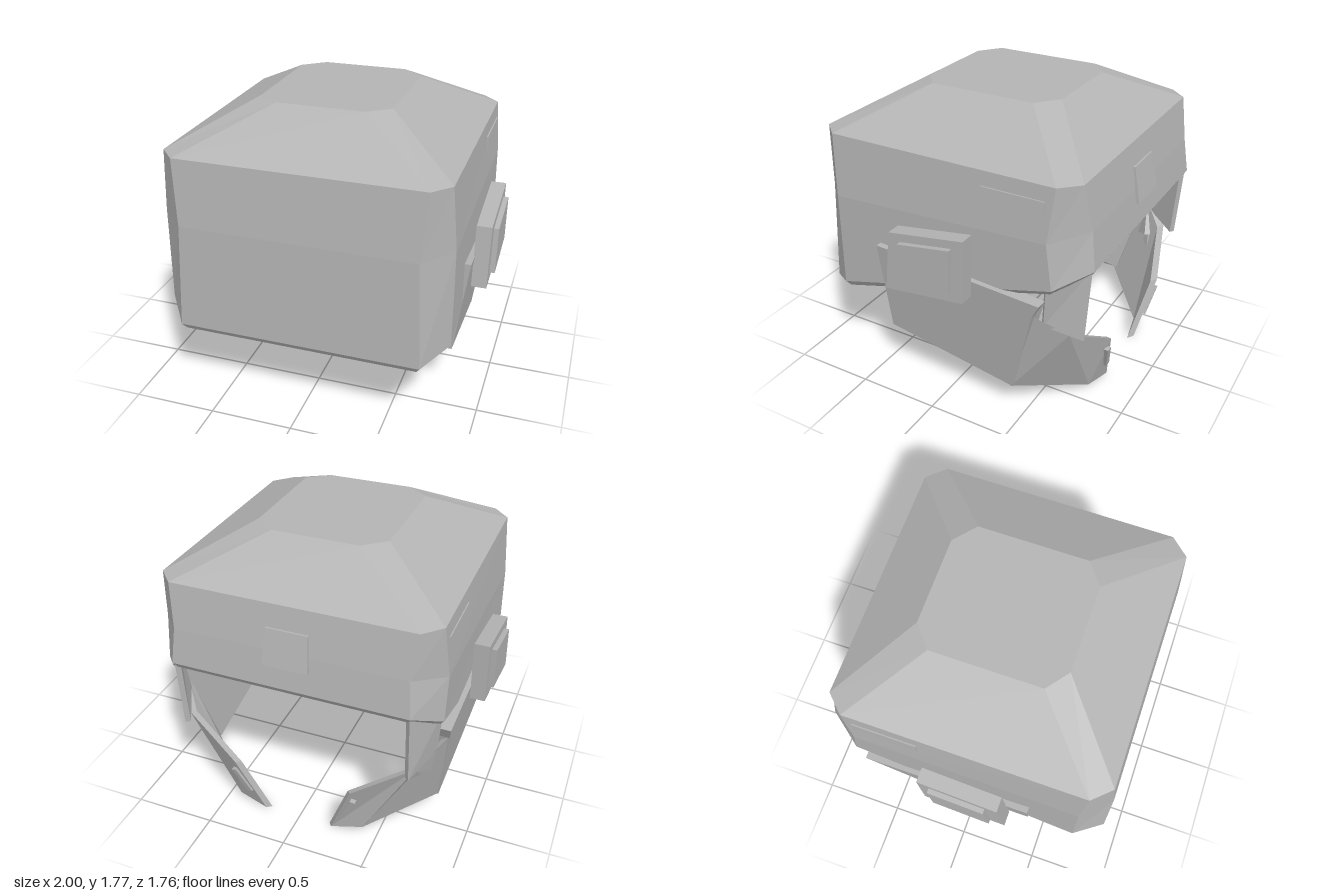
import * as THREE from 'three';

const shellGrey = new THREE.MeshStandardMaterial({ color: 0xb4b4b4, flatShading: true, side: THREE.DoubleSide });
shellGrey.name = 'shell grey';

const vec = (p) => new THREE.Vector3(...p);

// Collect polygons as flat triangles
function facesToMesh(name, faces) {
  const out = [];
  for (const f of faces)
    for (let i = 1; i < f.length - 1; i++) out.push(...f[0], ...f[i], ...f[i + 1]);
  const g = new THREE.BufferGeometry();
  g.setAttribute('position', new THREE.Float32BufferAttribute(out, 3));
  g.computeVertexNormals();
  const mesh = new THREE.Mesh(g, shellGrey);
  mesh.name = name;
  return mesh;
}

// Solid plate: an outer polygon pushed back along an offset; side = -1 mirrors it
function plate(name, points, offset, side = 1) {
  let front = points.map(([x, y, z]) => [x * side, y, z]);
  const off = [offset[0] * side, offset[1], offset[2]];
  const normal = vec(front[1]).sub(vec(front[0])).cross(vec(front[2]).sub(vec(front[0])));
  if (normal.dot(vec(off)) > 0) front.reverse();
  const back = front.map((p) => p.map((c, i) => c + off[i]));
  const faces = [front, [...back].reverse()];
  front.forEach((p, i) => {
    const j = (i + 1) % front.length;
    faces.push([p, back[i], back[j], front[j]]);
  });
  return facesToMesh(name, faces);
}

// Eight-cornered ring, from four points of the left half, front to back
const ring = (half) => [...half, ...half.map(([x, y, z]) => [-x, y, z]).reverse()];

function createShell() {
  const outer = [
    [[0.72, 0.5, 0.88], [0.855, 0.575, 0.705], [0.85, 0.95, -0.695], [0.71, 1.05, -0.875]],
    [[0.69, 1.14, 0.862], [0.85, 1.16, 0.7], [0.85, 1.22, -0.66], [0.69, 1.27, -0.845]],
    [[0.72, 1.535, 0.828], [0.82, 1.535, 0.72], [0.82, 1.535, -0.695], [0.72, 1.535, -0.8]],
    [[0.26, 1.77, 0.42], [0.39, 1.77, 0.32], [0.39, 1.77, -0.33], [0.26, 1.77, -0.44]],
  ].map(ring);
  // Inner wall follows the outer one, a little smaller and lower
  const inner = outer.map((r) => r.map(([x, y, z]) => [x * 0.97, y - 0.035, z * 0.975]));
  const faces = [];
  const band = (a, b) => a.forEach((p, i) => {
    const j = (i + 1) % a.length;
    faces.push([p, a[j], b[j], b[i]]);
  });
  for (let k = 0; k < 3; k++) {
    band(outer[k], outer[k + 1]);
    band(inner[k + 1], inner[k]);
  }
  band(inner[0], outer[0]);
  faces.push(outer[3], [...inner[3]].reverse());
  return facesToMesh('helmetShell', faces);
}

function createSide(s) {
  const g = new THREE.Group();
  g.name = s > 0 ? 'leftSide' : 'rightSide';
  const yz = (x, pts) => pts.map(([z, y]) => [x, y, z]);

  // Cheek guard, leaning inward towards the bottom
  const cheek = [[0.41, 0.93], [0.4, 0.335], [-0.43, 0.175], [-0.59, 0.76], [-0.64, 0.85]];
  g.add(plate('cheekGuard', cheek.map(([z, y]) => [0.89 - 0.135 * (0.93 - y), y, z]), [-0.07, 0, 0], s));

  // Jaw guard folded around the rear corner
  const a = [0.79, 0.175, -0.42], b = [0.41, 0.045, -0.745], c = [0.72, 0.61, -0.75];
  const d = [0.855, 0.76, -0.6], tip = [0.22, 0.015, -0.78], top = [0.37, 0.4, -0.855];
  const inset = [-0.025, -0.015, 0.035];
  g.add(plate('jawGuardSide', [a, b, c, d], inset, s));
  g.add(plate('jawGuardEnd', [b, tip, top, c], inset, s));

  // Raised strips on the jaw guard
  g.add(plate('jawStrip', [[0.8, 0.68, -0.63], [0.77, 0.49, -0.59], [0.7, 0.52, -0.665]], [-0.02, 0, 0.03], s));
  g.add(plate('jawEndStrip', [[0.32, 0.15, -0.815], [0.29, 0.16, -0.82], [0.37, 0.34, -0.858], [0.4, 0.33, -0.853]], [0, 0, 0.03], s));

  // Plate hanging below the rear corner
  g.add(plate('cornerPlate',
    [[0.835, 1.0, -0.66], [0.705, 1.06, -0.862], [0.705, 0.59, -0.83], [0.805, 0.68, -0.63]],
    [-0.025, 0, 0.02], s));

  // Ear block with its raised centre
  g.add(plate('earBlock', yz(0.97, [[0.25, 1.1], [-0.235, 1.175], [-0.22, 0.785], [0.295, 0.725]]), [-0.09, 0, 0], s));
  g.add(plate('earCentre', yz(1.0, [[0.175, 1.06], [-0.165, 1.115], [-0.15, 0.845], [0.205, 0.785]]), [-0.04, 0, 0], s));

  // Slim trim on the upper side
  g.add(plate('sideTrim', [[0.835, 1.45, -0.26], [0.842, 1.37, -0.26], [0.842, 1.37, -0.64], [0.835, 1.45, -0.64]], [-0.02, 0, 0], s));
  return g;
}

export function createModel() {
  const model = new THREE.Group();
  model.name = 'helmet';
  model.add(createShell(), createSide(1), createSide(-1));

  // Raised plate on the back
  model.add(plate('backPlate',
    [[-0.125, 1.4, -0.835], [0.125, 1.4, -0.835], [0.135, 1.185, -0.877], [-0.135, 1.185, -0.877]],
    [0, 0, 0.05]));
  return model;
}
